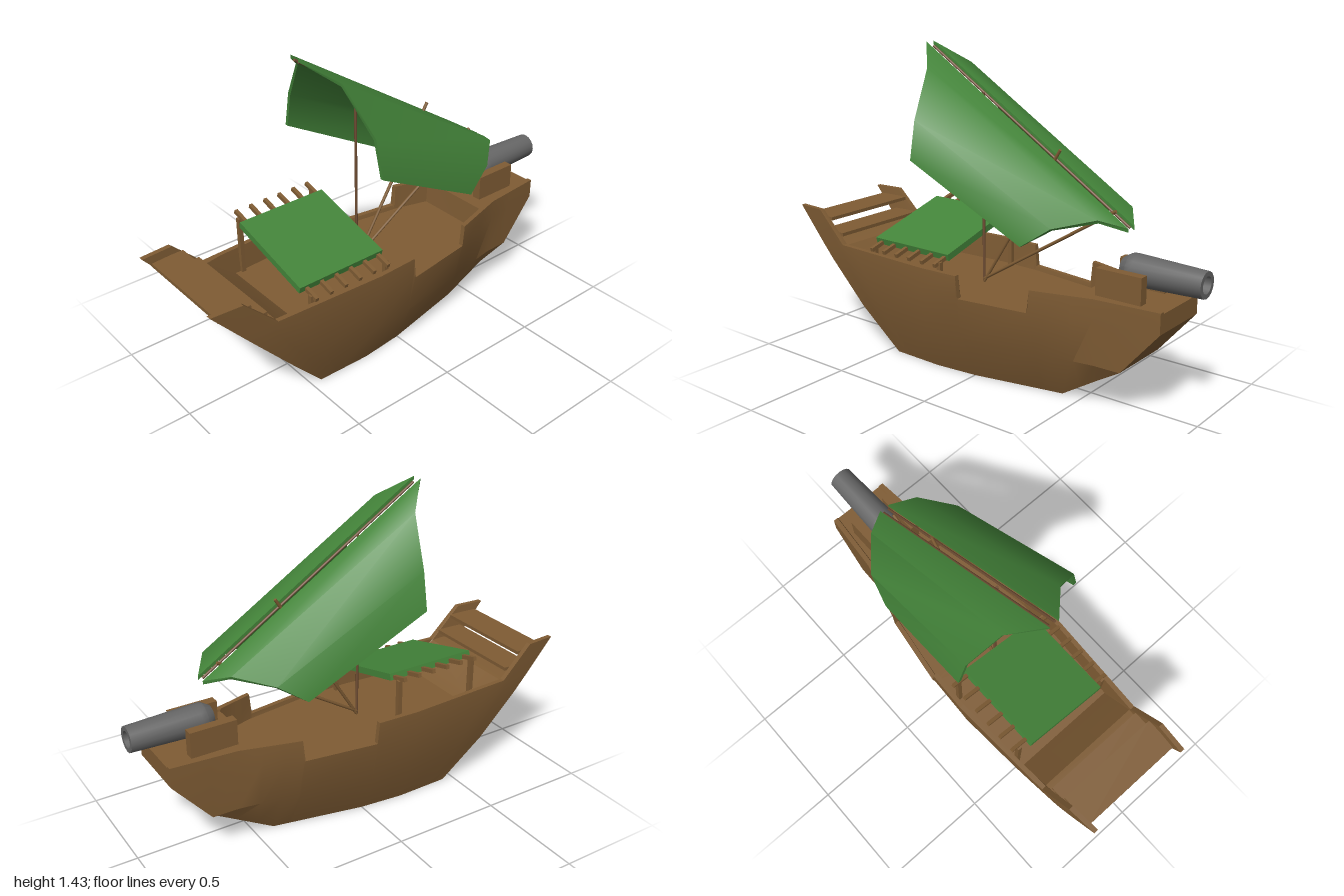
import * as THREE from 'three';
import { toCreasedNormals } from 'three/addons/utils/BufferGeometryUtils.js';

const mat = (name, color) => {
  const m = new THREE.MeshStandardMaterial({ color });
  m.name = name;
  return m;
};

// Piecewise linear curve through [z, value] keys listed from +z to -z
function along(keys, z) {
  const i = keys.findIndex(k => k[0] <= z);
  if (i === 0) return keys[0][1];
  if (i < 0) return keys[keys.length - 1][1];
  const [z0, v0] = keys[i - 1], [z1, v1] = keys[i];
  return v0 + (v1 - v0) * (z - z0) / (z1 - z0);
}

// Skin a run of closed rings (ordered from +z to -z, counter-clockwise seen from +z)
function loft(rings, caps, crease) {
  const pos = [];
  const quad = (a, b, c, d) => pos.push(...a, ...b, ...c, ...a, ...c, ...d);
  const n = rings[0].length;
  for (let s = 0; s < rings.length - 1; s++) {
    const a = rings[s], b = rings[s + 1];
    for (let i = 0; i < n; i++) {
      const j = (i + 1) % n;
      quad(a[i], b[i], b[j], a[j]);
    }
  }
  const first = rings[0], last = rings[rings.length - 1];
  for (const [a, b, c, d] of caps) {
    quad(first[a], first[b], first[c], first[d]);
    quad(last[d], last[c], last[b], last[a]);
  }
  const g = new THREE.BufferGeometry();
  g.setAttribute('position', new THREE.Float32BufferAttribute(pos, 3));
  return toCreasedNormals(g, crease);
}

// Hull curves: half width at the rim, half width at the keel, keel height
const rimWidth = [[1, 0.265], [0.8, 0.28], [0.2, 0.305], [0, 0.297], [-0.34, 0.248], [-0.6, 0.175], [-0.89, 0.15]];
const keelWidth = [[1, 0.195], [0.2, 0.2], [0, 0.18], [-0.41, 0.095], [-0.72, 0.13], [-0.89, 0.148]];
const keelHeight = [[-0.41, 0], [-0.72, 0.2], [-0.89, 0.4]];

// One hull ring: outer skin, bulwark top and deck edge, mirrored; the stern rakes forward with height
function hullRing(z, topY, deckY) {
  const rim = along(rimWidth, z), keel = along(keelWidth, z), bottom = along(keelHeight, z);
  const point = (y, flare, inner = 0) => {
    const h = Math.min(topY, Math.max(bottom, y));
    const rakedZ = z > 0.2 ? 0.2 + (z - 0.2) / 0.8 * (0.25 + 0.866 * h) : z;
    return [keel + (rim - keel) * flare - inner, h, rakedZ];
  };
  const half = [
    point(0, 0), point(0.2, 0.7), point(0.4, 0.97), point(0.48, 1), point(topY, 1),
    point(topY, 1, 0.022), point(deckY, 1, 0.026),
  ];
  return [...half, ...half.map(([x, y, d]) => [-x, y, d]).reverse()];
}

export function createModel() {
  const wood = mat('wood', 0x7f5c34);
  const darkWood = mat('dark wood', 0x6f4d33);
  const green = mat('green cloth', 0x44853a);
  const iron = mat('iron', 0x666666);
  const model = new THREE.Group();
  model.name = 'boat';

  const add = (name, geo, material, x = 0, y = 0, z = 0) => {
    const m = new THREE.Mesh(geo, material);
    m.name = name;
    m.position.set(x, y, z);
    model.add(m);
    return m;
  };
  const box = (name, w, h, d, material, x, y, z) =>
    add(name, new THREE.BoxGeometry(w, h, d), material, x, y, z);
  const pole = (name, a, b, r, material) => {
    const p = new THREE.Vector3(...a), q = new THREE.Vector3(...b);
    const m = add(name, new THREE.CylinderGeometry(r, r, p.distanceTo(q), 8), material);
    m.position.copy(p).add(q).multiplyScalar(0.5);
    m.quaternion.setFromUnitVectors(new THREE.Vector3(0, 1, 0), q.sub(p).normalize());
  };

  // Hull: raised stern, deck, notched waist, then the bow deck
  const CX = -0.013;
  const rings = [hullRing(1, 0.635, 0.49), hullRing(0.86, 0.635, 0.49), hullRing(0.806, 0.49, 0.485)];
  for (const z of [0.71, 0.2, 0.01]) rings.push(hullRing(z, 0.49, 0.37));
  for (const z of [0, -0.33]) rings.push(hullRing(z, 0.39, 0.37));
  for (const z of [-0.34, -0.41, -0.5]) rings.push(hullRing(z, 0.49, 0.37));
  for (const z of [-0.51, -0.6, -0.72, -0.89]) rings.push(hullRing(z, 0.49, 0.482));
  const hullCaps = [[0, 1, 12, 13], [1, 2, 11, 12], [2, 3, 10, 11], [3, 6, 7, 10], [3, 4, 5, 6], [7, 8, 9, 10]];
  add('hull', loft(rings, hullCaps, 0.35), wood, CX);

  // Two cross planks between the stern cheeks
  box('sternPlank', 0.5, 0.016, 0.15, wood, CX, 0.592, 0.885);
  box('sternPlank', 0.5, 0.016, 0.13, wood, CX, 0.527, 0.805);

  // Sails: front and rear edges, from the outer corner up to the ridge
  const frontEdge = [[0.325, 0.965, 0.22], [0.288, 1.13, 0.225], [0.148, 1.33, 0.275], [0.023, 1.427, 0.39]];
  const rearEdge = [[0.283, 0.68, -0.325], [0.252, 0.768, -0.45], [0.132, 0.802, -0.59], [0.023, 0.757, -0.665]];
  const sailRing = (edge, side) => {
    const under = edge.map(([x, y, z], i) => {
      const angle = i * Math.PI / 6;
      return [x - 0.016 * Math.cos(angle), y - 0.016 * Math.sin(angle), z];
    }).reverse();
    const ring = [...edge, ...under].map(([x, y, z]) => [x * side, y, z]);
    return side > 0 ? ring : ring.reverse();
  };
  const sailCaps = [0, 1, 2].map(i => [i, i + 1, 6 - i, 7 - i]);
  for (const side of [1, -1]) {
    const edges = [frontEdge, rearEdge].map(e => sailRing(e, side));
    add(side > 0 ? 'leftSail' : 'rightSail', loft(edges, sailCaps, 0.9), green, -0.006);
    // Spar along the inner edge of each sail
    const x = -0.007 + side * 0.014;
    pole('sailSpar', [x, 1.405, 0.38], [x, 0.75, -0.65], 0.006, darkWood);
  }

  // Mast and two raking poles that share its foot
  pole('mast', [-0.01, 0.36, 0.09], [-0.01, 1.225, 0.09], 0.006, darkWood);
  pole('rakingPole', [-0.01, 0.37, 0.09], [-0.01, 1.025, -0.315], 0.007, wood);
  pole('rakingPole', [-0.01, 0.385, 0.09], [-0.01, 0.81, -0.59], 0.007, wood);

  // Tilted awning on six cross beams and four corner posts
  const tilt = -0.262;
  box('awning', 0.435, 0.03, 0.435, green, -0.012, 0.583, 0.338).rotation.z = tilt;
  for (let i = 0; i < 6; i++) {
    box('awningBeam', 0.59, 0.018, 0.016, wood, -0.018, 0.58, 0.143 + i * 0.0754).rotation.z = tilt;
  }
  for (const z of [0.527, 0.136]) {
    box('awningPost', 0.02, 0.27, 0.02, wood, -0.268, 0.505, z);
    box('awningPost', 0.02, 0.15, 0.02, wood, 0.238, 0.44, z);
  }

  // Cannon with a hollow muzzle, lying between two cheeks
  const barrel = [[0, 0], [0.045, 0], [0.066, 0.035], [0.067, 0.06], [0.056, 0.365], [0.036, 0.365], [0.034, 0.2], [0, 0.2]]
    .map(([r, h]) => new THREE.Vector2(r, h));
  const barrelGeo = toCreasedNormals(new THREE.LatheGeometry(barrel, 16), 0.5);
  add('cannon', barrelGeo, iron, -0.016, 0.585, -0.635).rotation.x = -Math.PI / 2;
  for (const side of [1, -1]) {
    box('cannonCheek', 0.042, 0.125, 0.21, wood, -0.015 + side * 0.093, 0.535, -0.675);
  }

  return model;
}
